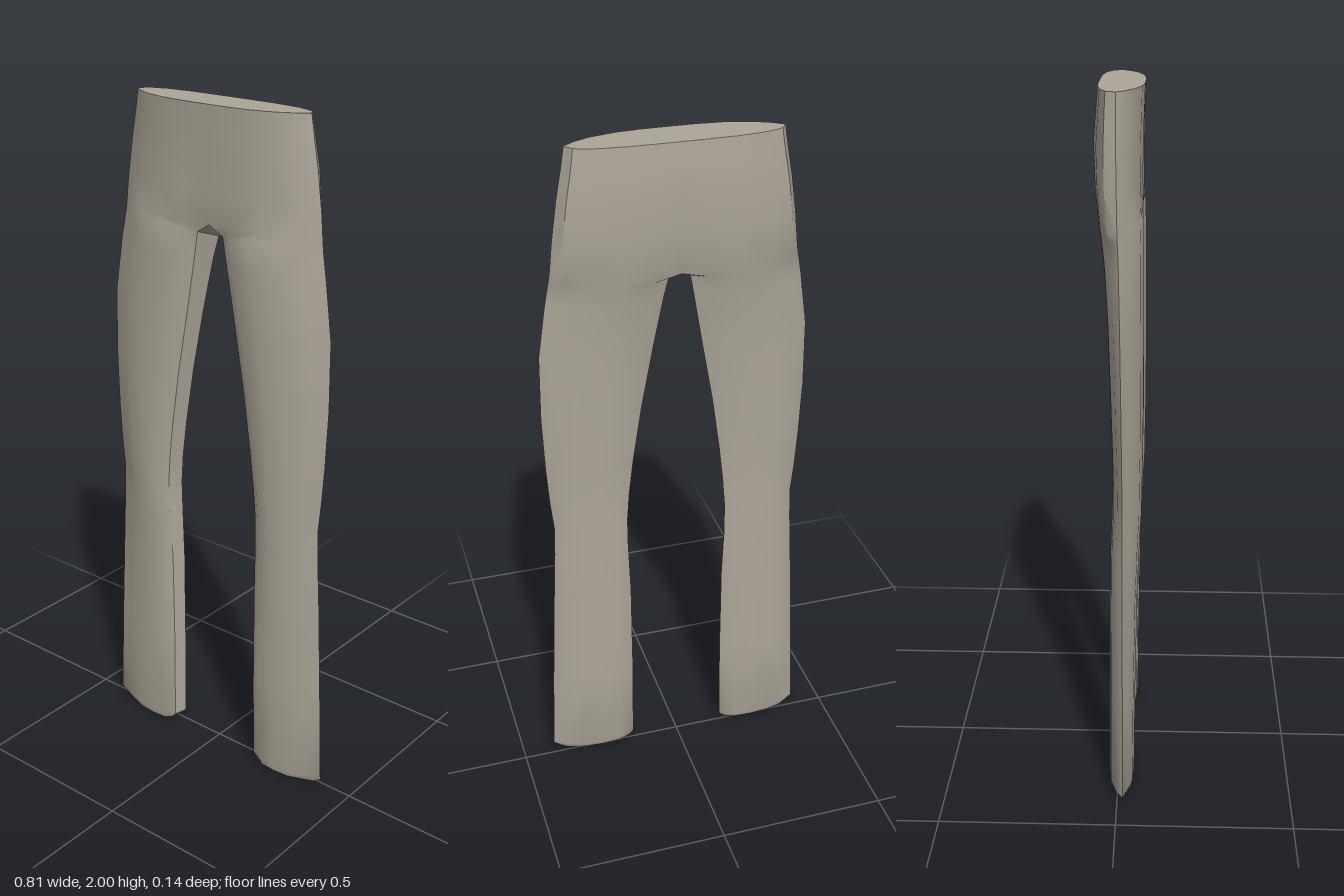
import * as THREE from 'three';
import { toCreasedNormals } from 'three/addons/utils/BufferGeometryUtils.js';

// Half cross-sections from hem to waist:
// y, inner x, outer x, front z, back z, side seam z, inner fullness, drop towards the back
const LEVELS = [
  [0.003, 0.165, 0.378, 0.043, -0.020, 0.015, 0.5, -0.012],
  [0.025, 0.146, 0.405, 0.046, -0.026, 0.017, 0.5, -0.008],
  [0.30, 0.143, 0.393, 0.048, -0.025, 0.016, 0.5, 0],
  [0.60, 0.144, 0.378, 0.053, -0.024, 0.014, 0.5, 0],
  [0.76, 0.150, 0.369, 0.059, -0.022, 0.014, 0.55, 0],
  [0.85, 0.150, 0.366, 0.064, -0.018, 0.014, 0.55, 0],
  [0.94, 0.143, 0.375, 0.065, -0.016, 0.014, 0.55, 0],
  [1.05, 0.130, 0.382, 0.067, -0.019, 0.013, 0.55, 0],
  [1.22, 0.105, 0.388, 0.067, -0.025, 0.011, 0.55, 0],
  [1.42, 0.070, 0.385, 0.067, -0.033, 0.008, 0.55, 0.01],
  [1.58, 0.042, 0.362, 0.066, -0.044, 0.004, 0.6, 0.02],
  [1.655, 0.030, 0.350, 0.064, -0.052, 0.001, 0.65, 0.04],
  [1.68, 0, 0.346, 0.063, -0.056, 0, 0.75, 0.045],
  [1.76, 0, 0.336, 0.061, -0.066, -0.002, 0.9, 0.02],
  [1.86, 0, 0.320, 0.062, -0.070, -0.004, 0.95, 0],
  [1.94, 0, 0.305, 0.064, -0.064, -0.005, 1, 0],
  [2.00, 0, 0.295, 0.066, -0.059, -0.005, 1, 0],
];
const CROTCH = 12; // first level where the two halves join

// Ring from the inner front, round the side seam, to the inner back
function ring([y, xi, xo, zf, zb, zo, full, drop], level) {
  const torso = level >= CROTCH;
  const front = torso
    ? [[0, full], [0.25, 0.99], [0.5, 0.9], [0.74, 0.65], [0.9, 0.32]]
    : [[0, full], [0.12, 0.9], [0.36, 1], [0.64, 0.88], [0.86, 0.45]];
  const back = torso
    ? [[0.94, 0.5], [0.76, 0.82], [0.5, 0.97], [0.25, 1], [0, Math.max(full, 0.92)]]
    : [[0.9, 0.45], [0.68, 0.85], [0.4, 1], [0.15, 0.92], [0, full]];
  const inset = torso ? 0 : 0.014;
  const point = (x, z) => new THREE.Vector3(x, y - drop * (zf - z) / (zf - zb), z);
  return [
    ...front.map(([u, v]) => point(xi + inset * (1 - u) + u * (xo - xi - inset), zo + v * (zf - zo))),
    point(xo, zo),
    ...back.map(([u, v]) => point(xi + u * (xo - xi), zo + v * (zb - zo))),
  ];
}

// Turns triangles of the left half into a geometry of both mirrored halves
function mirrored(triangles) {
  const positions = [];
  for (const [a, b, c] of triangles) {
    for (const p of [a, b, c]) positions.push(p.x, p.y, p.z);
    for (const p of [a, c, b]) positions.push(-p.x, p.y, p.z);
  }
  const geometry = new THREE.BufferGeometry();
  geometry.setAttribute('position', new THREE.Float32BufferAttribute(positions, 3));
  return toCreasedNormals(geometry, 0.6);
}

function fan(points) {
  const triangles = [];
  for (let i = 1; i < points.length - 1; i++) triangles.push([points[0], points[i], points[i + 1]]);
  return triangles;
}

export function createModel() {
  const group = new THREE.Group();
  group.name = 'trousers';
  const cloth = new THREE.MeshStandardMaterial({ color: 0xaca697 });
  cloth.name = 'stone cloth';

  const rings = LEVELS.map(ring);
  const count = rings[0].length;

  // Legs and seat; the inner leg panel ends under the crotch
  const walls = [];
  for (let i = 0; i < rings.length - 1; i++) {
    const sides = i < CROTCH ? count : count - 1;
    for (let j = 0; j < sides; j++) {
      const k = (j + 1) % count;
      const [a, b, c, d] = [rings[i][j], rings[i][k], rings[i + 1][k], rings[i + 1][j]];
      walls.push([a, b, c], [a, c, d]);
    }
  }

  const parts = {
    legsAndSeat: walls,
    waistCap: fan(rings[rings.length - 1]),
    hemCaps: fan([...rings[0]].reverse()),
  };
  for (const [name, triangles] of Object.entries(parts)) {
    const mesh = new THREE.Mesh(mirrored(triangles), cloth);
    mesh.name = name;
    group.add(mesh);
  }
  return group;
}
